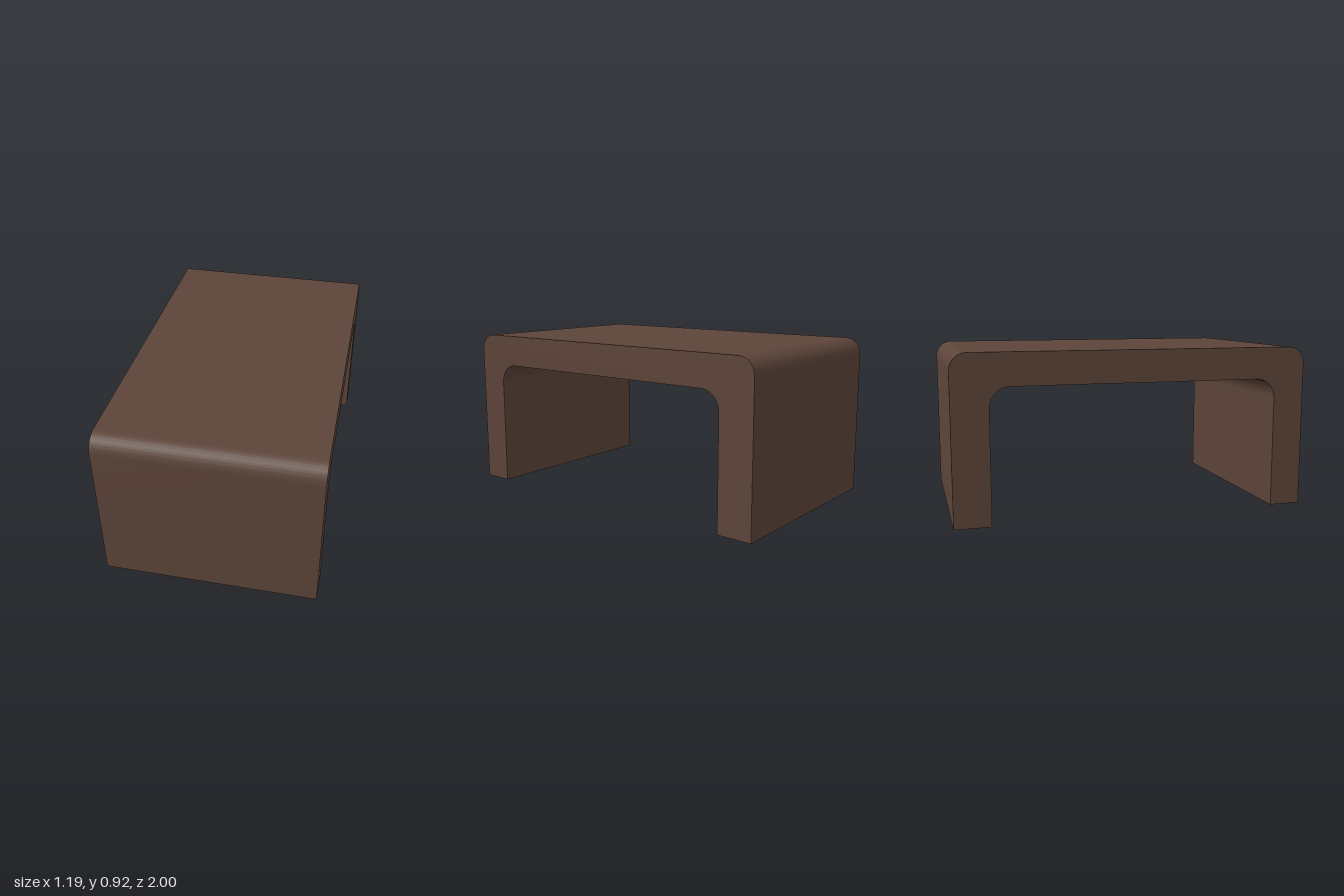
import * as THREE from 'three';
import { toCreasedNormals } from 'three/addons/utils/BufferGeometryUtils.js';

const WIDTH = 1.19;
const HEIGHT = 0.92;
const UNDERSIDE = 0.74;
const OUTER_RADIUS = 0.095;
const INNER_RADIUS = 0.11;
const INNER_BACK = -0.8;
const INNER_FRONT = 0.82;

// Side profile: x runs from back (-1) to front (+1), y is up
function archProfile() {
  const r = OUTER_RADIUS, q = INNER_RADIUS;
  const s = new THREE.Shape();
  s.moveTo(INNER_FRONT, 0);
  s.lineTo(1, 0);
  s.lineTo(1, HEIGHT - r);
  s.absarc(1 - r, HEIGHT - r, r, 0, Math.PI / 2, false);
  s.lineTo(-1 + r, HEIGHT);
  s.absarc(-1 + r, HEIGHT - r, r, Math.PI / 2, Math.PI, false);
  s.lineTo(-1, 0);
  s.lineTo(INNER_BACK, 0);
  s.lineTo(INNER_BACK, UNDERSIDE - q);
  s.absarc(INNER_BACK + q, UNDERSIDE - q, q, Math.PI, Math.PI / 2, true);
  s.lineTo(INNER_FRONT - q, UNDERSIDE);
  s.absarc(INNER_FRONT - q, UNDERSIDE - q, q, Math.PI / 2, 0, true);
  s.closePath();
  return s;
}

export function createModel() {
  const group = new THREE.Group();
  group.name = 'waterfallTable';

  // One continuous bent slab: top and both panel legs
  const geometry = new THREE.ExtrudeGeometry(archProfile(), {
    depth: WIDTH, bevelEnabled: false, curveSegments: 14,
  });
  geometry.translate(0, 0, -WIDTH / 2);
  geometry.rotateY(-Math.PI / 2);

  const material = new THREE.MeshStandardMaterial({ color: 0x5c4439 });
  const slab = new THREE.Mesh(toCreasedNormals(geometry, Math.PI / 6), material);
  slab.name = 'tableTopAndLegs';
  group.add(slab);
  return group;
}
